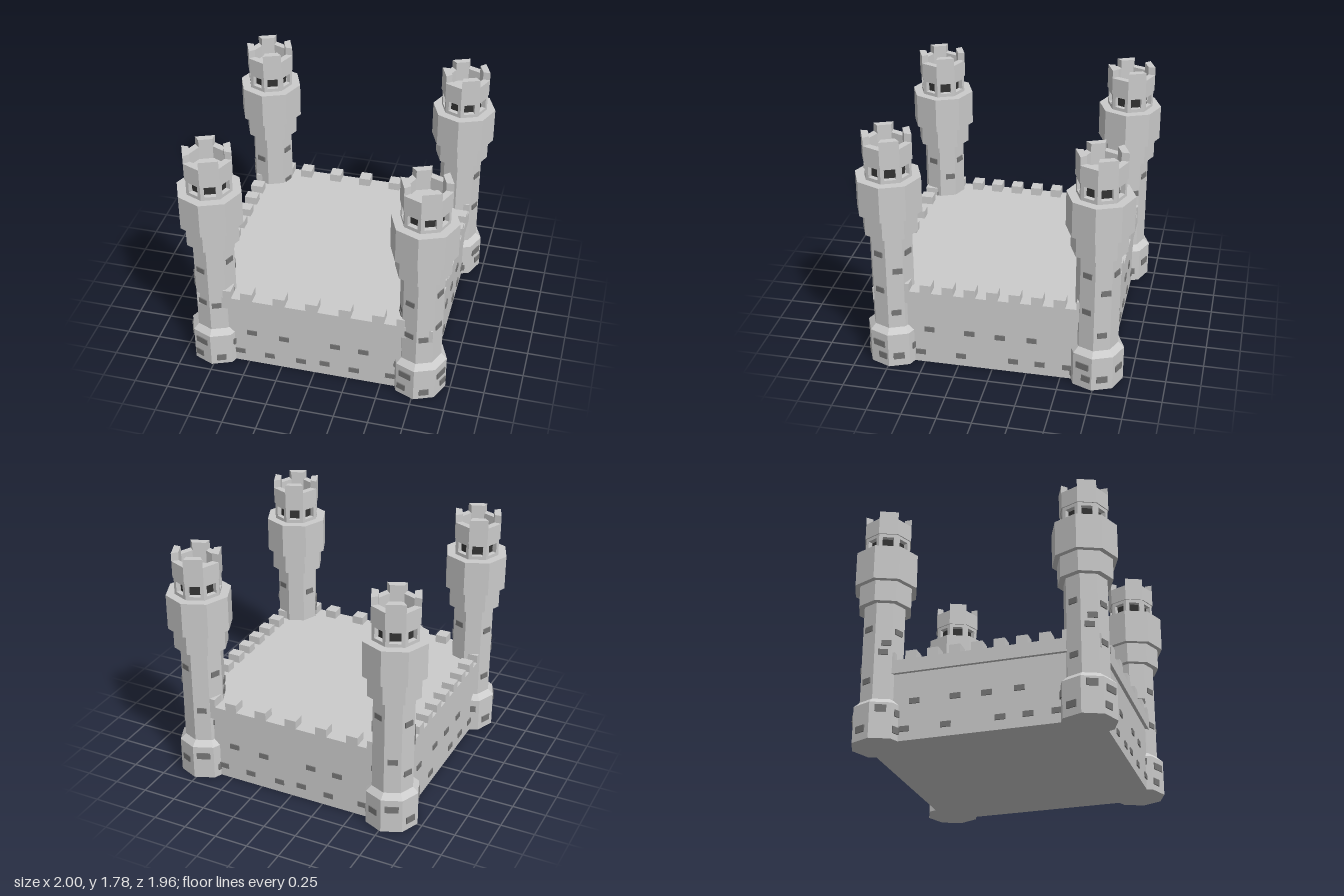
import * as THREE from 'three';

const stone = new THREE.MeshStandardMaterial({ color: 0xcccccc, flatShading: true });
const brickMat = new THREE.MeshStandardMaterial({ color: 0x777777, flatShading: true });
const darkMat = new THREE.MeshStandardMaterial({ color: 0x333333, flatShading: true });

const STEP = Math.PI / 4;
const APOTHEM = Math.cos(STEP / 2);

function add(parent, name, geometry, material = stone, x = 0, y = 0, z = 0) {
  const mesh = new THREE.Mesh(geometry, material);
  mesh.name = name;
  mesh.position.set(x, y, z);
  parent.add(mesh);
  return mesh;
}

// box given by its limits
function block(parent, name, x0, x1, y0, y1, z0, z1, material = stone) {
  return add(parent, name, new THREE.BoxGeometry(x1 - x0, y1 - y0, z1 - z0), material,
    (x0 + x1) / 2, (y0 + y1) / 2, (z0 + z1) / 2);
}

// eight-sided drum with corners on the x and z axes
function drum(parent, name, rBottom, rTop, y0, y1, material = stone) {
  return add(parent, name, new THREE.CylinderGeometry(rTop, rBottom, y1 - y0, 8), material, 0, (y0 + y1) / 2, 0);
}

// puts a mesh on tower side k (0 = between +x and +z), facing outwards
function placeOnSide(mesh, k, distance, y) {
  const a = (k + 0.5) * STEP;
  mesh.position.set(Math.cos(a) * distance, y, Math.sin(a) * distance);
  mesh.rotation.y = Math.PI / 2 - a;
}

// one mitred side of an octagonal ring wall
function ringSide(parent, name, k, rOut, rIn, y0, y1) {
  const at = (r, i) => new THREE.Vector2(r * Math.cos(i * STEP), -r * Math.sin(i * STEP));
  const shape = new THREE.Shape([at(rOut, k), at(rOut, k + 1), at(rIn, k + 1), at(rIn, k)]);
  const g = new THREE.ExtrudeGeometry(shape, { depth: y1 - y0, bevelEnabled: false });
  g.rotateX(-Math.PI / 2);
  add(parent, name, g, stone, 0, y0, 0);
}

// lantern side with a square window opening
function windowPanel(radius, height, opening, depth) {
  const w = radius * Math.sin(STEP / 2), o = opening / 2, h = height / 2;
  const shape = new THREE.Shape([[-w, -h], [w, -h], [w, h], [-w, h]].map(p => new THREE.Vector2(...p)));
  shape.holes.push(new THREE.Path([[-o, -o], [-o, o], [o, o], [o, -o]].map(p => new THREE.Vector2(...p))));
  const g = new THREE.ExtrudeGeometry(shape, { depth, bevelEnabled: false });
  return g.translate(0, 0, -depth);
}

// [side, y, sideways shift]
const SHAFT_BRICKS = [
  [2, 0.83, 0], [2, 0.545, 0], [1, 0.525, -0.01], [0, 0.9, 0], [0, 0.61, 0], [7, 0.43, 0],
  [7, 0.77, 0.02], [3, 0.66, 0], [3, 0.73, 0.02], [4, 0.85, 0], [5, 0.56, 0], [6, 0.9, 0], [4, 0.45, 0],
];
const BASE_BRICKS = [
  [2, 0.195, 0, 0.1], [2, 0.07, -0.03, 0.07], [1, 0.06, 0, 0.07], [0, 0.18, 0, 0.1], [0, 0.085, 0.03, 0.07],
  [7, 0.085, 0, 0.08], [3, 0.22, 0, 0.08], [4, 0.08, 0, 0.08], [5, 0.19, 0, 0.1], [6, 0.14, 0, 0.08],
];

function createTower() {
  const tower = new THREE.Group();
  tower.name = 'cornerTower';
  drum(tower, 'towerBase', 0.2, 0.2, 0, 0.265);
  drum(tower, 'towerBaseSlope', 0.2, 0.157, 0.265, 0.305);
  drum(tower, 'towerShaft', 0.157, 0.157, 0.305, 1.05);
  drum(tower, 'lowerCollar', 0.2, 0.2, 1.045, 1.21);
  drum(tower, 'upperCollar', 0.237, 0.237, 1.205, 1.47);

  // raised bricks on shaft and base
  const brick = (k, y, shift, width, height, radius) => {
    const g = new THREE.BoxGeometry(width, height, 0.03).translate(shift, 0, 0);
    placeOnSide(add(tower, 'towerBrick', g, brickMat), k, radius * APOTHEM - 0.007, y);
  };
  for (const [k, y, shift] of SHAFT_BRICKS) brick(k, y, shift, 0.07, 0.042, 0.157);
  for (const [k, y, shift, w] of BASE_BRICKS) brick(k, y, shift, w, 0.05, 0.2);

  // lantern with a window on every side, crown with alternating merlons
  const panel = windowPanel(0.172, 0.13, 0.08, 0.035);
  drum(tower, 'lanternInterior', 0.125, 0.125, 1.47, 1.6, darkMat);
  drum(tower, 'crownFloor', 0.18, 0.18, 1.6, 1.63);
  for (let k = 0; k < 8; k++) {
    placeOnSide(add(tower, 'lanternWindow', panel), k, 0.172 * APOTHEM, 1.535);
    ringSide(tower, k % 2 ? 'crownMerlon' : 'crownGap', k, 0.18, 0.127, 1.62, k % 2 ? 1.785 : 1.725);
  }
  return tower;
}

export function createModel() {
  const castle = new THREE.Group();
  castle.name = 'castle';
  const X0 = -0.867, X1 = 0.871, Z0 = -0.852, Z1 = 0.865, INSET = 0.025;

  // keep body: recessed walls below an overhanging roof slab
  block(castle, 'walls', X0 + INSET, X1 - INSET, 0, 0.5, Z0 + INSET, Z1 - INSET);
  block(castle, 'roofSlab', X0, X1, 0.5, 0.6, Z0, Z1);

  // battlements on all four edges
  const D = 0.095;
  const merlonX = [-0.64];
  for (let i = 0; i < 5; i++) merlonX.push(-0.495 + i * 0.243);
  merlonX.push(0.64);
  for (const x of merlonX) {
    const w = Math.abs(x) > 0.6 ? 0.03 : 0.044;
    block(castle, 'frontMerlon', x - w, x + w, 0.6, 0.662, Z1 - D, Z1);
    block(castle, 'backMerlon', x - w, x + w, 0.6, 0.662, Z0, Z0 + D);
  }
  for (let i = -4; i <= 4; i++) {
    const z = -0.007 + i * 0.161;
    block(castle, 'leftMerlon', X1 - D, X1, 0.6, 0.662, z - 0.041, z + 0.041);
    block(castle, 'rightMerlon', X0, X0 + D, 0.6, 0.662, z - 0.041, z + 0.041);
  }

  // raised bricks on the walls: [position along wall, y]
  const frontBricks = [[-0.47, 0.285], [-0.225, 0.275], [0.16, 0.285], [0.37, 0.28],
    [-0.565, 0.095], [-0.34, 0.09], [-0.1, 0.09], [0.08, 0.105], [0.3, 0.09], [0.57, 0.095]];
  const sideBricks = [[0.46, 0.285], [0.165, 0.285], [-0.06, 0.28], [-0.29, 0.285],
    [0.53, 0.085], [0.23, 0.085], [-0.155, 0.09], [-0.35, 0.09], [-0.55, 0.09]];
  const w = 0.037, h = 0.02, out = 0.008;
  for (const [p, y] of frontBricks) {
    const zf = Z1 - INSET, zb = Z0 + INSET;
    block(castle, 'frontBrick', p - w, p + w, y - h, y + h, zf - 0.02, zf + out, brickMat);
    block(castle, 'backBrick', -p - w, -p + w, y - h, y + h, zb - out, zb + 0.02, brickMat);
  }
  for (const [p, y] of sideBricks) {
    const xl = X1 - INSET, xr = X0 + INSET;
    block(castle, 'leftBrick', xl - 0.02, xl + out, y - h, y + h, p - w, p + w, brickMat);
    block(castle, 'rightBrick', xr - out, xr + 0.02, y - h, y + h, -p - w, -p + w, brickMat);
  }

  // four equal corner towers
  for (const sx of [-1, 1]) for (const sz of [-1, 1]) {
    const tower = createTower();
    tower.position.set(sx * 0.763, 0, sz * 0.742);
    castle.add(tower);
  }
  return castle;
}
